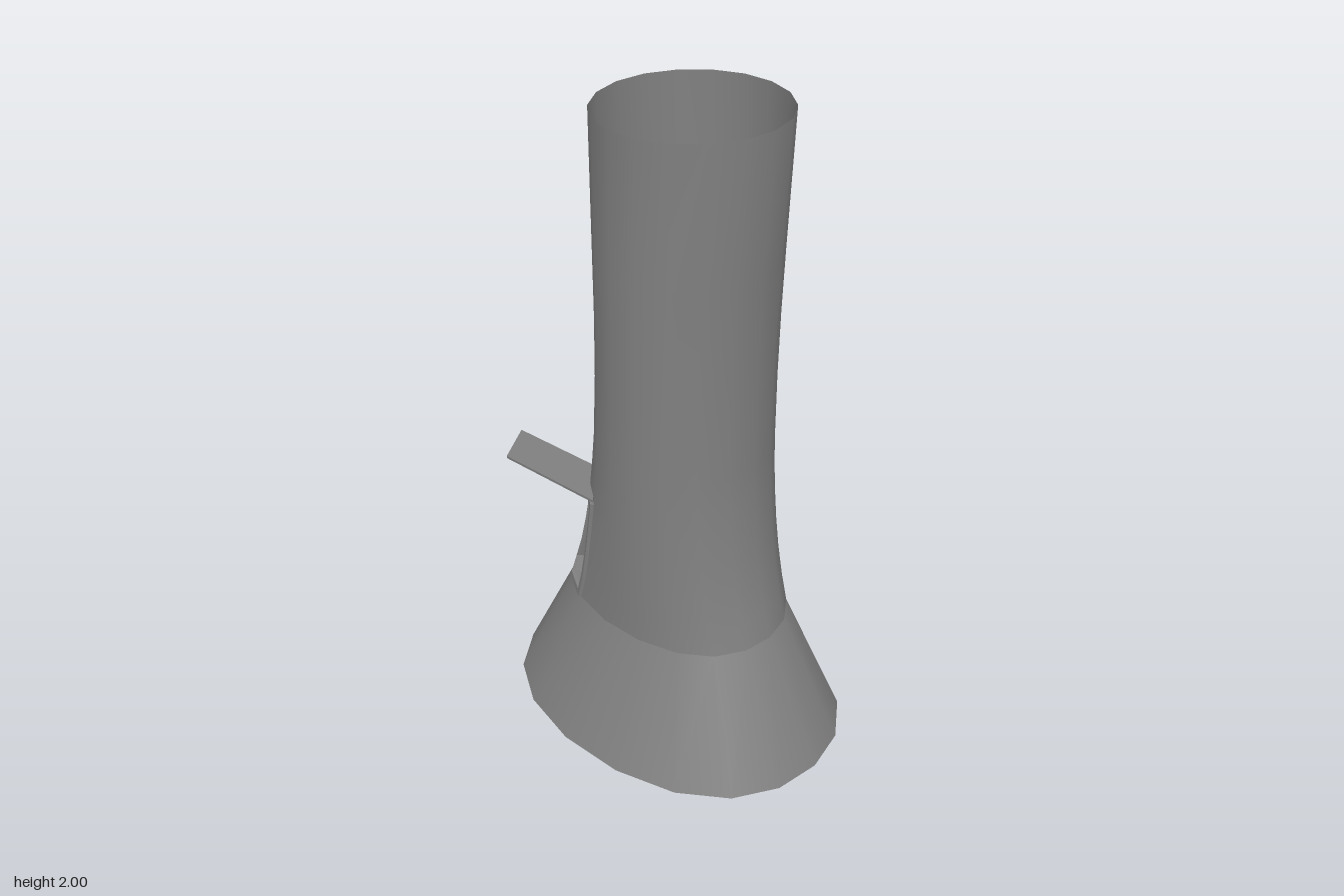
import * as THREE from 'three';

const COLOR = 0x808080;
const SIDES = 18;
// neck sections: height, front z, back z
const NECK = [
  [0.41, 0.383, -0.34], [0.5, 0.36, -0.31], [0.6, 0.34, -0.285], [0.7, 0.325, -0.264],
  [0.8, 0.314, -0.245], [0.9, 0.306, -0.23], [1, 0.302, -0.218], [1.2, 0.3, -0.205],
  [1.4, 0.303, -0.2], [1.6, 0.31, -0.2], [2, 0.327, -0.2],
];
const NECK_RX = 0.272;
const HATCH_ROWS = 4; // the opening spans the lowest four neck rows
const HATCH_U = [1, 3]; // and two facets beside the back centre line
const OUT = new THREE.Vector3(-0.67, 0, -0.74);

// point on an oval section; u counts facets from the back towards -x
function sectionPoint(u, y, rx, front, back) {
  const rz = (front - back) / 2;
  const bulge = 0.37 * (rz / rx - 1); // longer ovals have fuller shoulders
  const corner = (k) => {
    const a = (k * 2 * Math.PI) / SIDES;
    const depth = Math.cos(a) * (1 + bulge * Math.sin(a) ** 2);
    return new THREE.Vector3(-rx * Math.sin(a), y, (front + back) / 2 - rz * depth);
  };
  const k = Math.floor(u);
  return corner(k).lerp(corner(k + 1), u - k);
}

// point on the neck wall at any height
function wallPoint(u, y) {
  let i = 0;
  while (i < NECK.length - 2 && y > NECK[i + 1][0]) i++;
  const [a, b] = [NECK[i], NECK[i + 1]];
  const t = (y - a[0]) / (b[0] - a[0]);
  const mix = THREE.MathUtils.lerp;
  return sectionPoint(u, y, NECK_RX, mix(a[1], b[1], t), mix(a[2], b[2], t));
}

function makeMesh(name, points, index, flat) {
  const geometry = new THREE.BufferGeometry().setFromPoints(points);
  geometry.setIndex(index);
  geometry.computeVertexNormals();
  const material = new THREE.MeshStandardMaterial({ color: COLOR, side: THREE.DoubleSide, flatShading: flat });
  const mesh = new THREE.Mesh(geometry, material);
  mesh.name = name;
  return mesh;
}

// closed rings joined by quads, with an optional test for cells left open
function loft(name, rings, flat, isOpen = () => false) {
  const n = rings[0].length;
  const index = [];
  for (let r = 0; r < rings.length - 1; r++) {
    for (let k = 0; k < n; k++) {
      if (isOpen(r, k)) continue;
      const a = r * n + k, b = r * n + ((k + 1) % n);
      index.push(a, b, b + n, a, b + n, a + n);
    }
  }
  return makeMesh(name, rings.flat(), index, flat);
}

const ring = (y, rx, front, back) =>
  Array.from({ length: SIDES }, (_, k) => sectionPoint(k, y, rx, front, back));

export function createModel() {
  const model = new THREE.Group();

  // flared foot and open neck
  model.add(loft('flaredBase', [ring(0, 0.425, 0.578, -0.54), ring(0.41, NECK_RX, 0.383, -0.34)], false));
  model.add(loft('neck', NECK.map(([y, f, b]) => ring(y, NECK_RX, f, b)), false,
    (r, k) => r < HATCH_ROWS && k >= HATCH_U[0] && k < HATCH_U[1]));

  // hatch frame and the deep recess behind it, sloping down into the neck
  const rows = [0, 0.23, 0.49, 0.74, 1];
  const outline = [[0, 0], [0.5, 0], ...rows.map((t) => [1, t]), [0.5, 1],
    ...rows.slice(1).reverse().map((t) => [0, t])];
  const hatchPoint = (s, t, inset, shift) =>
    wallPoint(2 + (s - 0.5) * (2 - inset * 10), 0.41 + inset * 0.6 + t * (0.39 - inset * 1.2)).add(shift);
  const hatchLoop = (inset, shift) => outline.map(([s, t]) => hatchPoint(s, t, inset, shift));
  const proud = OUT.clone().multiplyScalar(0.01);
  const deep = new THREE.Vector3(0.26, -0.08, 0.277);
  const none = new THREE.Vector3();
  const hatch = new THREE.Group();
  hatch.name = 'hatch';
  hatch.add(loft('hatchFrame', [hatchLoop(0, none), hatchLoop(0.003, proud),
    hatchLoop(0.035, proud), hatchLoop(0.04, none)], true));
  hatch.add(loft('recessWalls', [hatchLoop(0.04, none), hatchLoop(0.05, deep)], true));

  // back panel of the recess
  const panel = rows.flatMap((t) => [0, 0.5, 1].map((s) => hatchPoint(s, t, 0.05, deep)));
  const panelIndex = [];
  for (let r = 0; r < rows.length - 1; r++) {
    for (let k = 0; k < 2; k++) {
      const a = r * 3 + k;
      panelIndex.push(a, a + 1, a + 4, a, a + 4, a + 3);
    }
  }
  hatch.add(makeMesh('recessBack', panel, panelIndex, true));

  // open flap hinged along the top of the hatch
  const flap = new THREE.BoxGeometry(1, 1, 1);
  const p = flap.attributes.position;
  for (let i = 0; i < p.count; i++) {
    const right = p.getX(i) > 0, outer = p.getZ(i) < 0;
    const x = outer ? (right ? -0.075 : -0.215) : (right ? -0.095 : -0.24);
    const z = outer ? (right ? -0.58 : -0.5) : (right ? -0.23 : -0.105);
    p.setXYZ(i, x, 0.822 + z * 0.08 + p.getY(i) * 0.008, z);
  }
  flap.computeVertexNormals();
  const flapMesh = new THREE.Mesh(flap, new THREE.MeshStandardMaterial({ color: COLOR, flatShading: true }));
  flapMesh.name = 'hatchFlap';
  hatch.add(flapMesh);
  model.add(hatch);
  return model;
}
